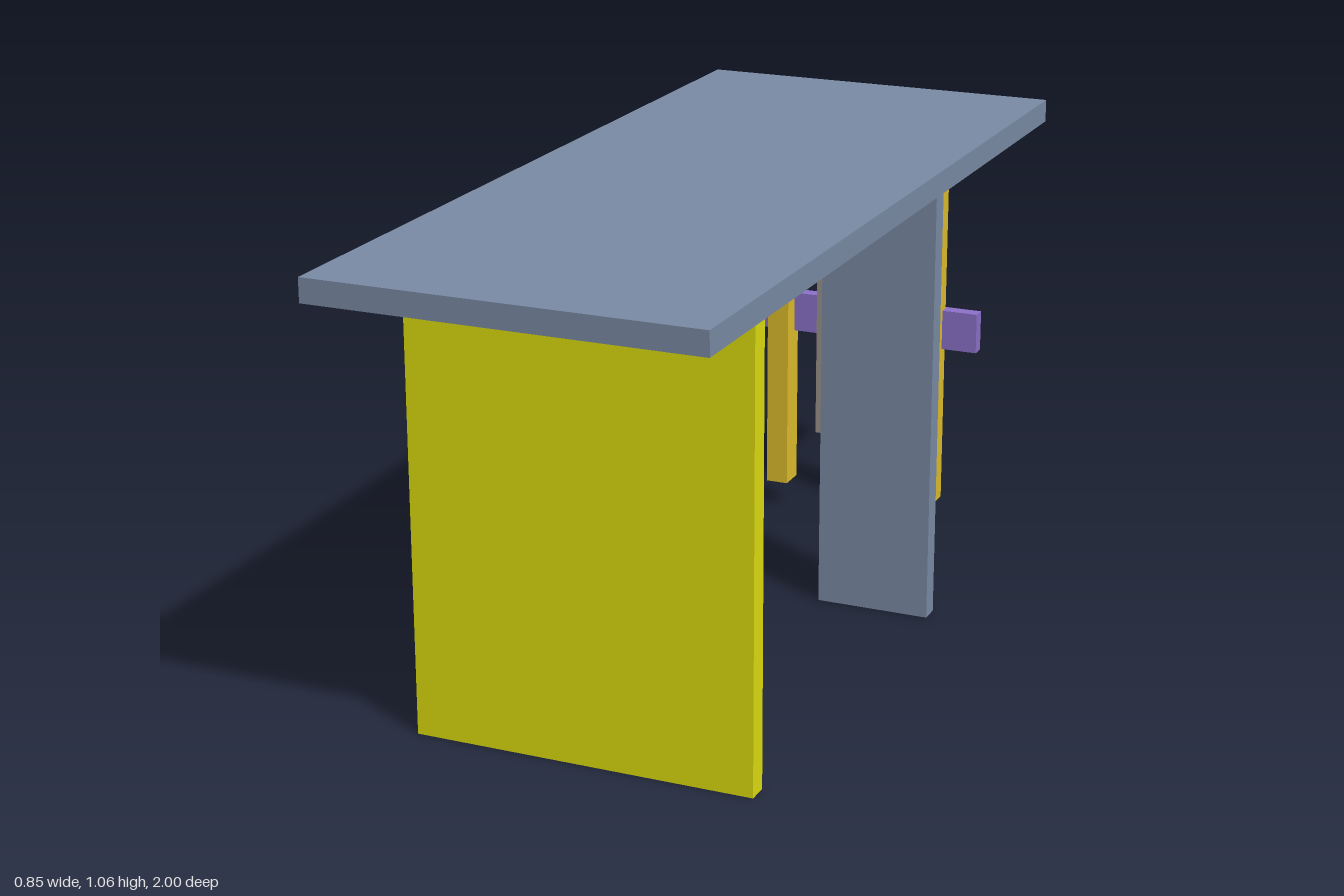
import * as THREE from 'three';

const mat = (color) => new THREE.MeshStandardMaterial({ color, flatShading: true });
const SLATE = mat(0x7c8ca7), YELLOW = mat(0xdfdf10), OCHRE = mat(0xdfbe2c), PURPLE = mat(0x8d72cc);
const NAVY = mat(0x45617f), TEAL = mat(0x6f9c9e), TRIM = mat(0x9c948c);

export function createModel() {
  const model = new THREE.Group();
  model.name = 'shelter';

  // Box given by its extents along each axis
  const box = (name, material, [x0, x1], [y0, y1], [z0, z1], parent = model) => {
    const mesh = new THREE.Mesh(new THREE.BoxGeometry(x1 - x0, y1 - y0, z1 - z0), material);
    mesh.position.set((x0 + x1) / 2, (y0 + y1) / 2, (z0 + z1) / 2);
    mesh.name = name;
    parent.add(mesh);
    return mesh;
  };

  // Outline of a rectangle, used for shapes and holes
  const rect = (target, x0, x1, y0, y1) => {
    target.moveTo(x0, y0);
    target.lineTo(x1, y0);
    target.lineTo(x1, y1);
    target.lineTo(x0, y1);
    target.closePath();
    return target;
  };

  // Roof and solid front wall
  box('roof', SLATE, [-0.425, 0.425], [1.01, 1.062], [-1, 1]);
  box('frontWall', YELLOW, [-0.365, 0.393], [0, 1.01], [0.665, 0.712]);

  // Middle wall with a doorway cut up from the floor
  const wall = new THREE.Shape();
  [[-0.38, 0], [-0.118, 0], [-0.118, 0.89], [0.135, 0.89], [0.135, 0], [0.4, 0], [0.4, 1.01], [-0.38, 1.01]]
    .forEach(([x, y], i) => (i ? wall.lineTo(x, y) : wall.moveTo(x, y)));
  wall.closePath();
  const middleWall = new THREE.Mesh(
    new THREE.ExtrudeGeometry(wall, { depth: 0.045, bevelEnabled: false }), SLATE);
  middleWall.position.z = -0.34;
  middleWall.name = 'middleWall';
  model.add(middleWall);

  // Door jambs, rails and switch plate
  const door = new THREE.Group();
  door.name = 'doorFittings';
  model.add(door);
  box('rightJamb', TRIM, [-0.118, -0.105], [0.41, 0.89], [-0.338, -0.297], door);
  box('leftJamb', TRIM, [0.122, 0.135], [0.41, 0.89], [-0.338, -0.297], door);
  box('rightRail', TRIM, [-0.308, -0.112], [0.551, 0.565], [-0.347, -0.338], door);
  box('leftRail', TRIM, [0.133, 0.332], [0.551, 0.565], [-0.347, -0.338], door);
  box('switchPlate', TRIM, [-0.162, -0.132], [0.652, 0.692], [-0.345, -0.338], door);

  // Hanging tray: framed rim, inset panel and box underneath
  const tray = new THREE.Group();
  tray.name = 'tray';
  model.add(tray);
  const rimShape = rect(new THREE.Shape(), -0.07, 0.08, -0.485, -0.11);
  rimShape.holes.push(rect(new THREE.Path(), -0.058, 0.068, -0.473, -0.21));
  const rim = new THREE.Mesh(
    new THREE.ExtrudeGeometry(rimShape, { depth: 0.038, bevelEnabled: false }), NAVY);
  rim.rotation.x = -Math.PI / 2;
  rim.position.y = 0.592;
  rim.name = 'trayRim';
  tray.add(rim);
  box('trayPanel', TEAL, [-0.058, 0.068], [0.58, 0.625], [0.21, 0.473], tray);
  box('trayBase', NAVY, [-0.04, 0.045], [0.545, 0.6], [0.16, 0.44], tray);

  // Rear posts hung from a top beam and tied by a crossbar
  const frame = new THREE.Group();
  frame.name = 'rearFrame';
  model.add(frame);
  box('topBeam', OCHRE, [-0.273, 0.27], [0.96, 1.01], [-0.89, -0.795], frame);
  for (const [name, x] of [['leftPost', 0.198], ['rightPost', -0.187]])
    box(name, OCHRE, [x - 0.027, x + 0.027], [0.065, 0.96], [-0.89, -0.825], frame);
  box('crossbar', PURPLE, [-0.295, 0.312], [0.455, 0.552], [-0.9, -0.867], frame);

  return model;
}
